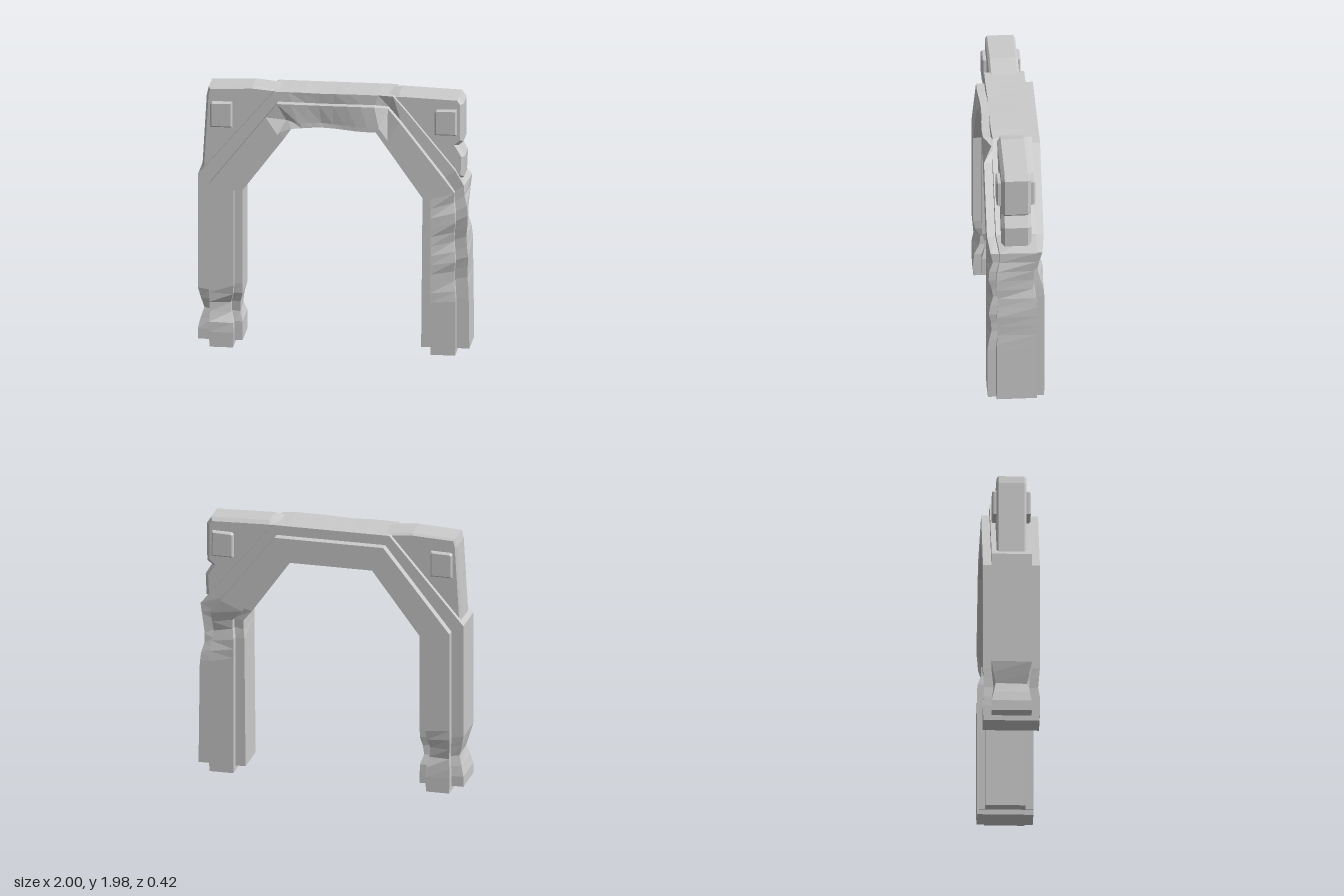
import * as THREE from 'three';

const material = new THREE.MeshStandardMaterial({ color: 0xcccccc, flatShading: true, roughness: 0.9 });

// Arch stations: [outer edge, trim outer, trim inner, opening edge] as x, y
const KEYS = [
  [[-1, 0.04], [-0.91, 0.04], [-0.73, 0.04], [-0.67, 0.04]],
  [[-1, 1.3], [-0.91, 1.25], [-0.73, 1.2], [-0.67, 1.19]],
  [[-0.44, 1.955], [-0.41, 1.88], [-0.34, 1.73], [-0.31, 1.67]],
  [[0.44, 1.955], [0.41, 1.88], [0.34, 1.72], [0.31, 1.67]],
  [[0.985, 1.29], [0.905, 1.24], [0.72, 1.19], [0.655, 1.18]],
  [[1, 0.04], [0.905, 0.04], [0.72, 0.04], [0.645, 0.04]],
];
const STEPS = [16, 6, 8, 6, 16];

// Half depths of the frame and of the raised trim
const FRAME = 0.147, TRIM = 0.208;

// Worn spots: x, y, z, radius, depth
const WEAR = [
  [-0.74, 0.3, 0.2, 0.13, 0.08], [-0.67, 0.29, 0.15, 0.1, 0.04],
  [-0.73, 0.3, -0.2, 0.13, 0.07], [-0.67, 0.28, -0.15, 0.1, 0.05],
  [-1, 0.28, 0.15, 0.14, 0.06], [-1, 0.27, -0.15, 0.14, 0.05],
  [-0.35, 1.76, 0.2, 0.11, 0.07], [-0.08, 1.73, 0.2, 0.28, 0.035],
  [0.41, 1.88, 0.2, 0.11, 0.07], [0.97, 1.26, 0.15, 0.15, 0.05],
  [0.9, 1.18, 0.2, 0.12, 0.05], [0.9, 1.1, -0.2, 0.19, 0.06],
  [0.73, 1.15, -0.2, 0.12, 0.05], [0.99, 1.02, -0.15, 0.15, 0.05],
  [0.9, 0.88, 0.2, 0.16, 0.05], [0.9, 0.6, 0.2, 0.15, 0.04],
];

// Cross-shaped section: the front half, then the back half mirrored
function crossSection(edges) {
  const [o, a, b, i] = edges;
  const front = [[o, FRAME], [a, FRAME], [a, TRIM], [b, TRIM], [b, FRAME], [i, FRAME]];
  const back = front.map(([p, z]) => [p, -z]).reverse();
  return [...front, ...back].map(([p, z]) => new THREE.Vector3(p[0], p[1], z));
}

// Pull corners near a worn spot towards the middle of the section
function wear(ring) {
  const centre = ring.reduce((sum, p) => sum.add(p), new THREE.Vector3()).divideScalar(ring.length);
  for (const p of ring) {
    const pull = WEAR.reduce((most, [x, y, z, radius, depth]) => {
      const fade = 1 - p.distanceTo(new THREE.Vector3(x, y, z)) / radius;
      return Math.max(most, depth * fade);
    }, 0);
    p.addScaledVector(centre.clone().sub(p).normalize(), pull);
  }
  return ring;
}

function sweptArch() {
  const rings = [];
  STEPS.forEach((steps, s) => {
    for (let k = s ? 1 : 0; k <= steps; k++) {
      const edges = KEYS[s].map(([x, y], e) => {
        const [nx, ny] = KEYS[s + 1][e];
        return [THREE.MathUtils.lerp(x, nx, k / steps), THREE.MathUtils.lerp(y, ny, k / steps)];
      });
      rings.push(wear(crossSection(edges)));
    }
  });

  const n = rings[0].length, index = [];
  for (let r = 0; r < rings.length - 1; r++) {
    for (let i = 0; i < n; i++) {
      const a = r * n + i, b = r * n + (i + 1) % n;
      index.push(a, b, b + n, a, b + n, a + n);
    }
  }
  // Close both feet with three rectangles each
  const last = (rings.length - 1) * n;
  for (let a = 0; a < 6; a += 2) {
    const b = a + 1, c = 10 - a, d = 11 - a;
    index.push(a, c, b, a, d, c);
    index.push(last + a, last + b, last + c, last + a, last + c, last + d);
  }
  const geometry = new THREE.BufferGeometry().setFromPoints(rings.flat());
  geometry.setIndex(index);
  const flat = geometry.toNonIndexed();
  flat.computeVertexNormals();
  return flat;
}

// Flat outline extruded evenly about z = 0 with a chamfered edge
function slab(points, depth, bevel) {
  const shape = new THREE.Shape(points.map(([x, y]) => new THREE.Vector2(x, y)));
  const geometry = new THREE.ExtrudeGeometry(shape, {
    depth: depth - 2 * bevel, bevelEnabled: true, bevelThickness: bevel,
    bevelSize: bevel, bevelOffset: -bevel, bevelSegments: 1,
  });
  return geometry.translate(0, 0, bevel - depth / 2);
}

export function createModel() {
  const model = new THREE.Group();
  const add = (name, geometry, x = 0, y = 0, z = 0) => {
    const mesh = new THREE.Mesh(geometry, material);
    mesh.name = name;
    mesh.position.set(x, y, z);
    model.add(mesh);
  };

  add('archFrame', sweptArch());

  // Raised trim ends that rest on the ground
  add('rightFoot', new THREE.BoxGeometry(0.175, 0.06, 2 * TRIM - 0.004), -0.82, 0.03, 0);
  add('leftFoot', new THREE.BoxGeometry(0.18, 0.06, 2 * TRIM - 0.004), 0.8125, 0.03, 0);

  // Corner walls above the slopes; the left one is cracked on its outer edge
  add('rightCornerWall', slab([
    [-0.88, 1.3], [-0.46, 1.83], [-0.4, 1.955], [-0.6, 1.975],
    [-0.925, 1.96], [-0.94, 1.9], [-0.975, 1.3],
  ], 0.22, 0.015));
  add('leftCornerWall', slab([
    [0.88, 1.3], [0.955, 1.34], [0.962, 1.5], [0.915, 1.58], [0.95, 1.61],
    [0.952, 1.9], [0.92, 1.95], [0.48, 1.965], [0.4, 1.95], [0.46, 1.83],
  ], 0.22, 0.025));

  // Square plaques on both faces of each corner wall
  const plaque = slab([[-0.08, -0.097], [0.082, -0.097], [0.08, 0.097], [-0.068, 0.093], [-0.08, 0.08]], 0.06, 0.01);
  for (const [side, x] of [['right', -0.83], ['left', 0.823]]) {
    add(`${side}FrontPlaque`, plaque, x, 1.76, 0.112);
    add(`${side}BackPlaque`, plaque, x, 1.76, -0.112);
  }
  return model;
}
